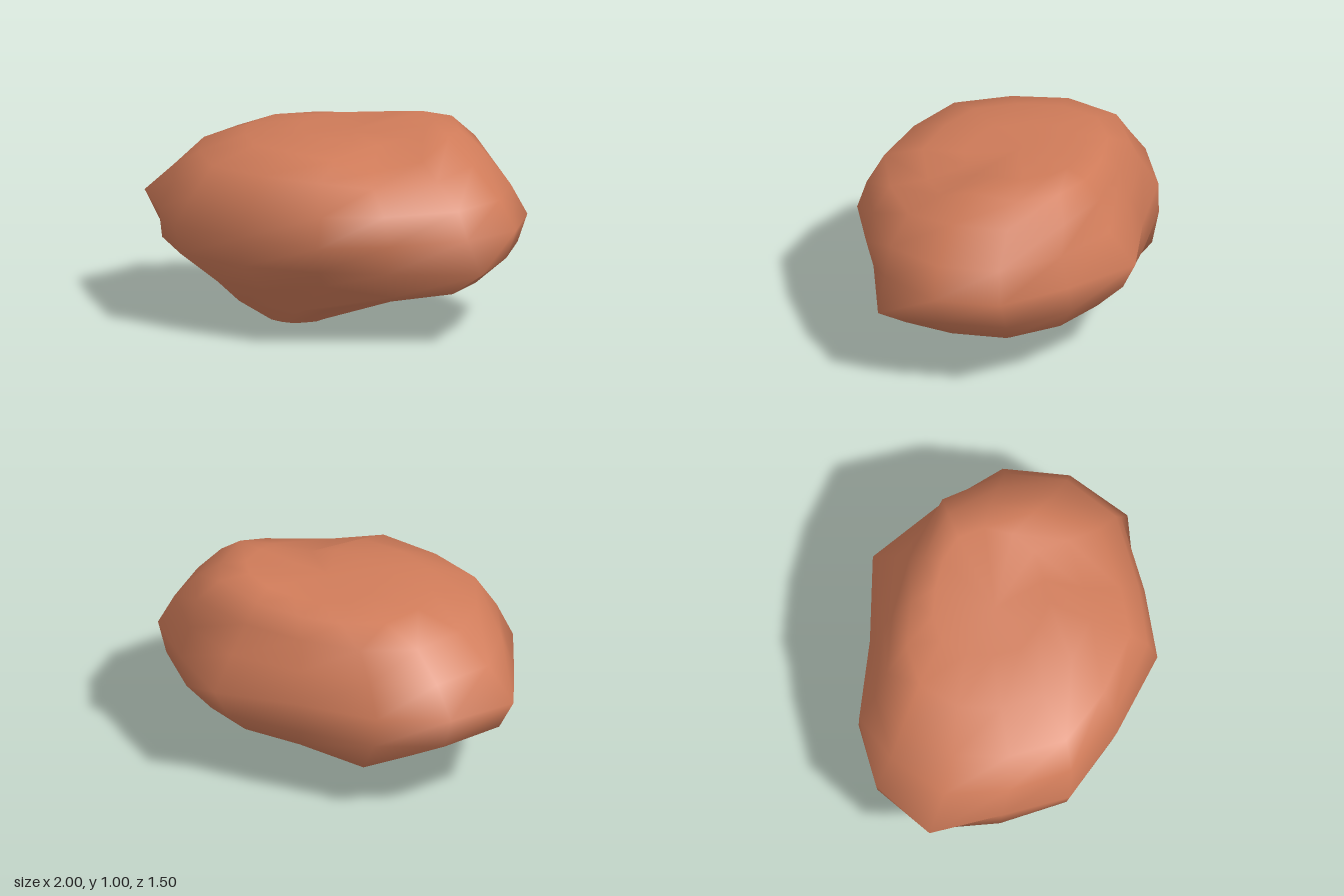
import * as THREE from 'three';

// Plan outline of the boulder (x, z), running from the left side round the front
const outline = [
  [1, 0.02], [0.9, 0.33], [0.57, 0.57], [0.27, 0.72], [-0.16, 0.7], [-0.55, 0.6], [-0.78, 0.33],
  [-0.9, 0.02], [-0.82, -0.31], [-0.52, -0.51], [-0.13, -0.6], [0.28, -0.63], [0.63, -0.53], [0.92, -0.3],
];
const base = { x0: -0.9, x1: 1, z0: -0.63, z1: 0.72 };

// Level sections: height, x range, z range
const levels = [
  [0.02, -0.26, 0.03, 0.03, 0.29],
  [0.13, -0.48, 0.34, -0.19, 0.44],
  [0.25, -0.66, 0.78, -0.53, 0.6],
  [0.39, -0.9, 0.94, -0.64, 0.69],
  [0.54, -0.94, 1, -0.64, 0.72],
  [0.69, -0.82, 0.92, -0.58, 0.69],
  [0.84, -0.68, 0.77, -0.54, 0.62],
  [0.92, -0.46, 0.62, -0.46, 0.42],
  [0.95, -0.2, 0.46, -0.36, 0.2],
];

// Local knobs and hollows: centre, push, reach
const bumps = [
  { at: [-0.94, 0.54, 0.02], push: [-0.06, 0, 0], reach: 0.16 },        // pointed right end
  { at: [-0.82, 0.54, 0.33], push: [0.03, 0, -0.01], reach: 0.12 },     // notch beside it
  { at: [0.28, 0.54, -0.64], push: [0, 0, -0.11], reach: 0.14 },        // pointed back
  { at: [0.27, 0.54, 0.72], push: [0, 0, 0.03], reach: 0.14 },          // front corner
  { at: [0.85, 0.39, 0.32], push: [0.11, -0.01, 0.03], reach: 0.1 },    // front left knob
  { at: [0.9, 0.56, 0.33], push: [-0.03, 0.01, 0], reach: 0.1 },        // step above the knob
  { at: [0.24, 0.25, 0.6], push: [-0.04, 0.04, -0.08], reach: 0.14 },   // undercut at the front
  { at: [0.71, 0.25, 0.27], push: [0.06, 0, -0.01], reach: 0.13 },      // lower lip
  { at: [0.47, 0.25, 0.47], push: [0.07, 0, -0.01], reach: 0.12 },      // lower lip, front
  { at: [0.32, 0.13, 0.18], push: [-0.03, 0.05, -0.02], reach: 0.16 },  // underside hollow
  { at: [0.26, 0.13, -0.09], push: [0.3, 0.02, -0.2], reach: 0.15 },    // underside ledge
  { at: [-0.37, 0.25, -0.43], push: [-0.1, 0, -0.09], reach: 0.14 },    // back right belly
  { at: [0.52, 0.84, -0.44], push: [0.06, 0, -0.03], reach: 0.14 },     // back left shoulder
  { at: [0.42, 0.92, -0.38], push: [0.03, 0.03, -0.02], reach: 0.14 },  // back of the hump
  { at: [0.6, 0.92, -0.06], push: [0, 0.045, 0.01], reach: 0.17 },      // left end of the hump
  { at: [0.28, 0.95, -0.19], push: [0, 0.045, 0], reach: 0.22 },        // top of the hump
  { at: [0.46, 0.89, 0.3], push: [-0.01, -0.1, 0], reach: 0.2 },        // hollow before the hump
];

function displaced(x, y, z) {
  const start = new THREE.Vector3(x, y, z);
  const p = start.clone();
  for (const { at, push, reach } of bumps) {
    const d = start.distanceTo(new THREE.Vector3(...at)) / reach;
    p.addScaledVector(new THREE.Vector3(...push), Math.exp(-d * d));
  }
  return p;
}

function boulderGeometry() {
  const n = outline.length;
  const points = [];
  for (const [y, x0, x1, z0, z1] of levels) {
    for (const [ox, oz] of outline) {
      const x = THREE.MathUtils.mapLinear(ox, base.x0, base.x1, x0, x1);
      const z = THREE.MathUtils.mapLinear(oz, base.z0, base.z1, z0, z1);
      points.push(displaced(x, y, z));
    }
  }
  const bottom = points.push(new THREE.Vector3(-0.17, 0, 0.22)) - 1;
  const top = points.push(new THREE.Vector3(0.08, 0.945, -0.04)) - 1;

  const index = [];
  const last = (levels.length - 1) * n;
  for (let j = 0; j < n; j++) {
    const k = (j + 1) % n;
    index.push(bottom, j, k, top, last + k, last + j);
    for (let r = 0; r < last; r += n) {
      index.push(r + j, r + n + j, r + k, r + k, r + n + j, r + n + k);
    }
  }
  const geometry = new THREE.BufferGeometry().setFromPoints(points);
  geometry.setIndex(index);
  geometry.computeVertexNormals();
  return geometry;
}

export function createModel() {
  const clay = new THREE.MeshStandardMaterial({ color: 0xcf7b59 });
  clay.name = 'reddish clay';
  const boulder = new THREE.Mesh(boulderGeometry(), clay);
  boulder.name = 'boulder';
  const model = new THREE.Group();
  model.name = 'rock';
  model.add(boulder);
  return model;
}
